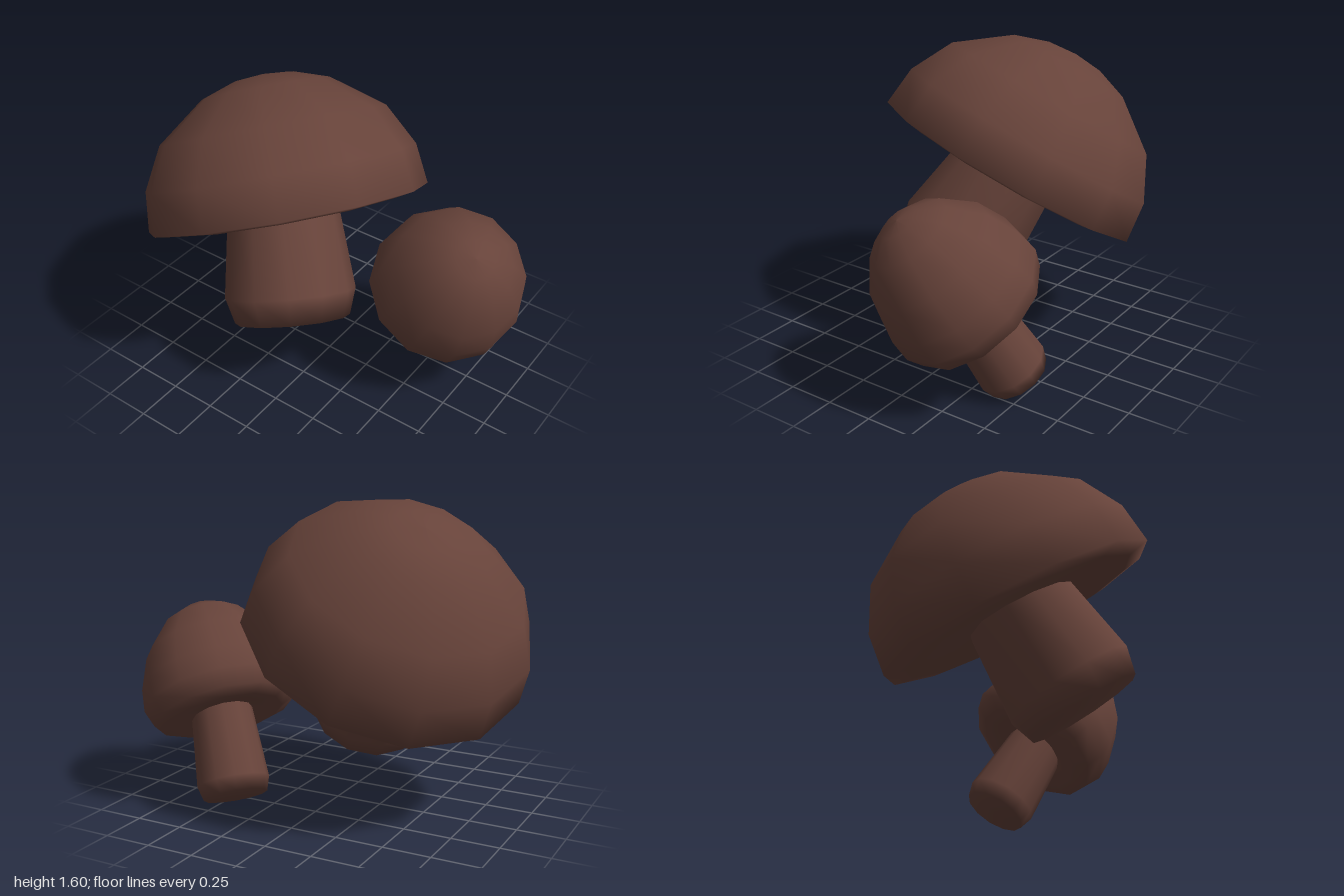
import * as THREE from 'three';

const SIDES = 12;
const UP = new THREE.Vector3(0, 1, 0);

// Smooth low-poly lathe standing at "base" with its axis along "axis", turned by "spin"
function turned(name, profile, base, axis, spin, material) {
  const points = profile.map(([r, h]) => new THREE.Vector2(r, h));
  const geometry = new THREE.LatheGeometry(points, SIDES).rotateY(spin);
  const mesh = new THREE.Mesh(geometry, material);
  mesh.name = name;
  mesh.position.set(...base);
  mesh.quaternion.setFromUnitVectors(UP, new THREE.Vector3(...axis).normalize());
  return mesh;
}

// One mushroom: a cap and a flared stem with a bevelled foot, each on its own tilt
function mushroom(name, { cap, stem }, material) {
  const group = new THREE.Group();
  group.name = name;
  const r = stem.radius;
  const stemProfile = [
    [0, 0], [r * 0.88, 0], [r, r * 0.4], [r * 0.84, stem.length],
  ];
  group.add(
    turned(name + 'Cap', cap.profile, cap.base, cap.axis, cap.spin, material),
    turned(name + 'Stem', stemProfile, stem.base, stem.axis, cap.spin, material),
  );
  return group;
}

export function createModel() {
  const model = new THREE.Group();
  model.name = 'mushrooms';
  const brown = new THREE.MeshStandardMaterial({ color: 0x67433a, roughness: 0.9 });

  // Wide mushroom leaning back and to its right
  model.add(mushroom('largeMushroom', {
    cap: {
      base: [-0.297, 0.972, 0],
      axis: [-0.435, 0.85, -0.3],
      spin: 0.14,
      profile: [
        [0, -0.08], [0.35, -0.09], [0.64, -0.12], [0.75, -0.1],
        [0.725, 0.115], [0.605, 0.34], [0.34, 0.535], [0.16, 0.595], [0, 0.61],
      ],
    },
    stem: { base: [-0.035, 0.405, 0.29], axis: [-0.4, 0.84, -0.41], radius: 0.348, length: 0.6 },
  }, brown));

  // Small tall-capped mushroom leaning forward and to its left
  model.add(mushroom('smallMushroom', {
    cap: {
      base: [0.517, 0.472, -0.293],
      axis: [0.48, 0.8, 0.36],
      spin: 0.14,
      profile: [
        [0, 0.03], [0.2, 0], [0.3, -0.02], [0.375, 0.01], [0.41, 0.1],
        [0.4, 0.22], [0.345, 0.39], [0.22, 0.55], [0.1, 0.62], [0, 0.635],
      ],
    },
    stem: { base: [0.37, 0.083, -0.435], axis: [0.38, 0.84, 0.33], radius: 0.188, length: 0.5 },
  }, brown));

  return model;
}
